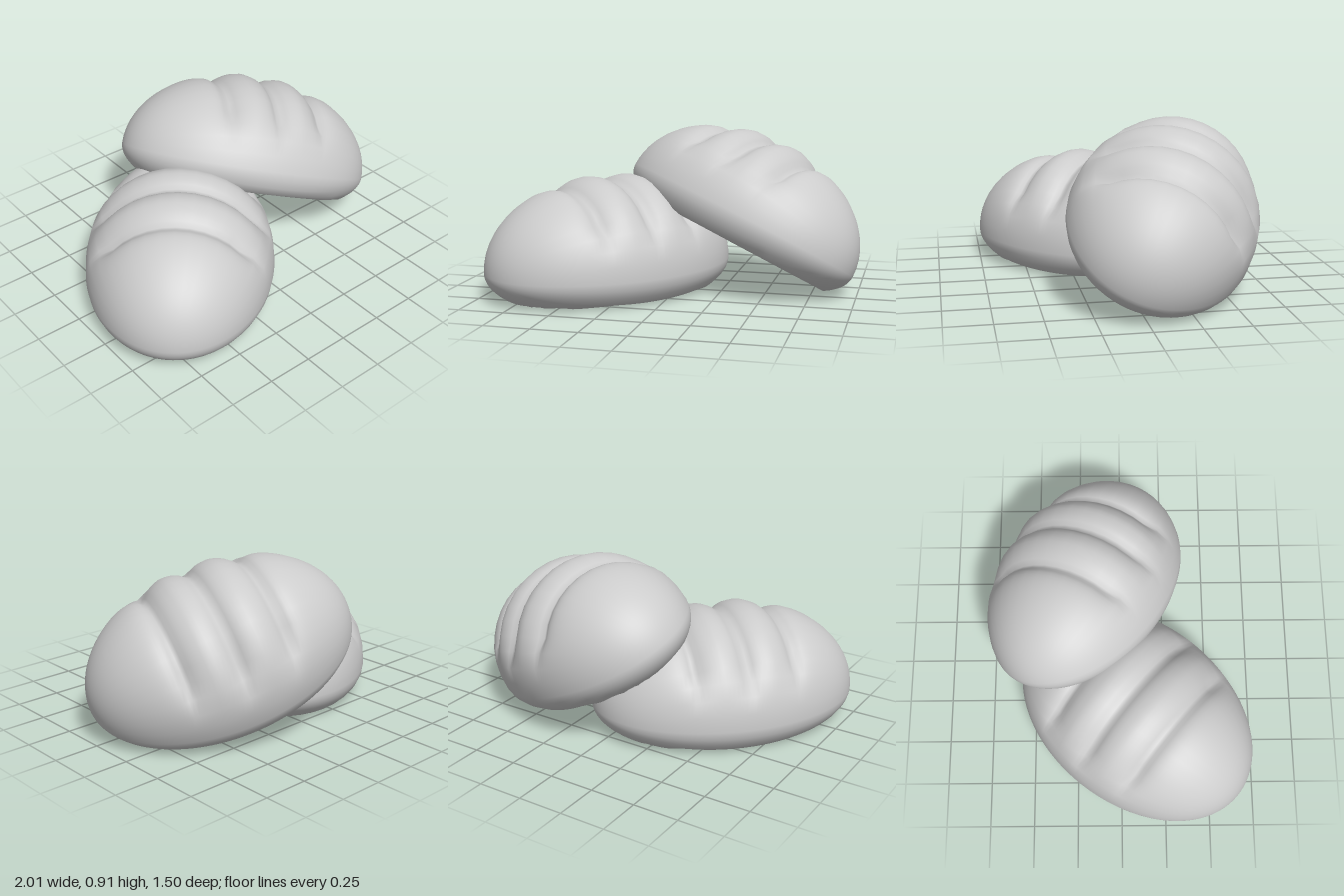
import * as THREE from 'three';
import { mergeVertices } from 'three/addons/utils/BufferGeometryUtils.js';

const HALF_LENGTH = 0.745, HALF_WIDTH = 0.52;
const BELLY = 0.15;            // height of the widest line
const DOME = 0.51;             // crust height above the widest line
const SLASHES = [-0.27, 0.01, 0.28];

// Oval loaf along x: domed crust, rounded lower rim, flat base, three crosswise slashes
function loafGeometry() {
  const sphere = new THREE.SphereGeometry(1, 36, 96).rotateZ(-Math.PI / 2);
  sphere.deleteAttribute('uv');
  sphere.deleteAttribute('normal');
  const geometry = mergeVertices(sphere, 1e-4);
  const p = geometry.attributes.position;
  for (let i = 0; i < p.count; i++) {
    const x = p.getX(i) * HALF_LENGTH;
    let y = p.getY(i), z = p.getZ(i);
    // V-shaped cuts that stop abruptly on the shoulders
    let cut = 0;
    for (const s of SLASHES) cut = Math.max(cut, Math.exp(-Math.abs(x - s) / 0.055));
    const sink = 1 - 0.14 * cut * THREE.MathUtils.smoothstep(y, 0.38, 0.58);
    y *= sink;
    z *= sink;
    const height = y > 0 ? BELLY + DOME * y : BELLY - 0.142 * Math.min(1, -1.9 * y);
    p.setXYZ(i, x, height, z * HALF_WIDTH);
  }
  geometry.computeVertexNormals();
  return geometry;
}

// Places a loaf by its base centre, long direction and upward direction
function placeLoaf(mesh, base, along, up) {
  const n = new THREE.Vector3(...up).normalize();
  const u = new THREE.Vector3(...along).projectOnPlane(n).normalize();
  const v = new THREE.Vector3().crossVectors(u, n);
  mesh.quaternion.setFromRotationMatrix(new THREE.Matrix4().makeBasis(u, n, v));
  mesh.position.set(...base);
}

export function createModel() {
  const group = new THREE.Group();
  group.name = 'breadLoaves';
  const material = new THREE.MeshStandardMaterial({ color: 0xcccccc });
  const geometry = loafGeometry();

  // Loaf lying flat
  const flatLoaf = new THREE.Mesh(geometry, material);
  flatLoaf.name = 'flatLoaf';
  placeLoaf(flatLoaf, [-0.375, 0, 0.085], [0.65, 0, -0.76], [0, 1, 0]);

  // Loaf leaning on the first
  const leaningLoaf = new THREE.Mesh(geometry, material);
  leaningLoaf.name = 'leaningLoaf';
  placeLoaf(leaningLoaf, [0.253, 0.25, -0.155], [0.92, -0.25, 0.38], [0.42, 0.87, -0.26]);

  group.add(flatLoaf, leaningLoaf);
  return group;
}
